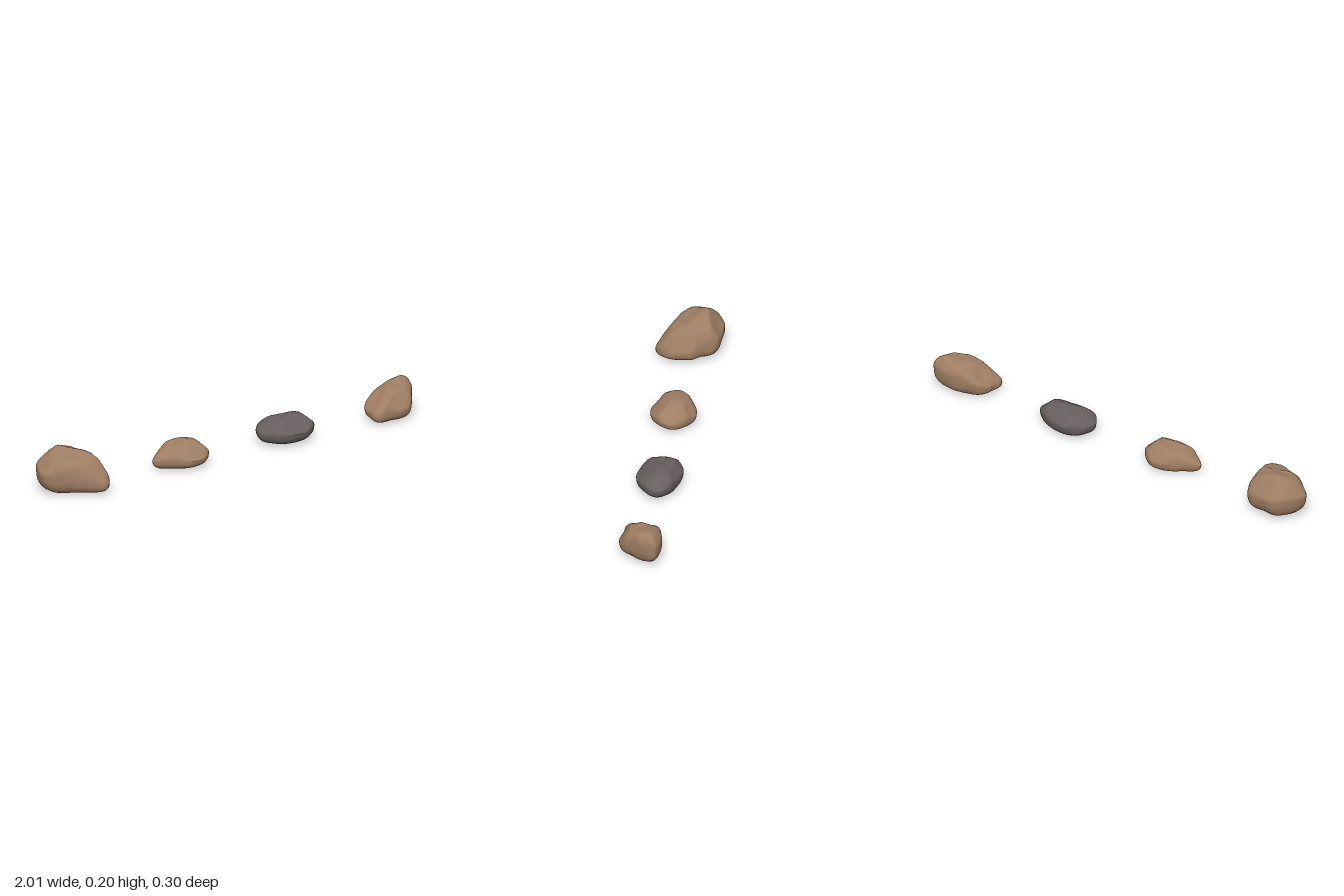
import * as THREE from 'three';

const brown = new THREE.MeshStandardMaterial({ color: 0x9f7e63 });
brown.name = 'brown stone';
const grey = new THREE.MeshStandardMaterial({ color: 0x675e60 });
grey.name = 'grey stone';

const SIDES = 72;
const LOWER = 9; // loops below the waist
const UPPER = 17; // loops from the waist to the crest

// Height at t (0..1) along evenly spaced samples
function read(samples, t) {
  const f = THREE.MathUtils.clamp(t, 0, 1) * (samples.length - 1);
  const i = Math.min(Math.floor(f), samples.length - 2);
  return THREE.MathUtils.lerp(samples[i], samples[i + 1], f - i);
}

// Ridged, repeatable surface lumps in the range -1..1
function lumps(x, y, z) {
  const ridge = 1 - 2 * Math.abs(Math.sin(17 * x + 13 * z + 9 * y + 2 * Math.sin(11 * z)));
  const wave = Math.sin(47 * x + 19 * y) * Math.sin(43 * z - 23 * y + 1.3);
  const fine = Math.sin(71 * y + 37 * x + 2) * Math.sin(83 * z + 29 * x);
  return 0.4 * ridge + 0.4 * wave + 0.2 * fine;
}

// Stacked loops from the underside to the crest, closed by a point at each end.
// radii: plan outline at even angles, turning from +x towards +z
// alongX, alongZ: crest heights across the rock; waist: height of its widest line
function makeRock(name, material, { cx, cz, radii, alongX, alongZ, waist, tiltX, tiltZ, rough }) {
  const corners = radii.map((r, i) => {
    const a = (i / radii.length) * Math.PI * 2;
    return new THREE.Vector3(r * Math.cos(a), 0, r * Math.sin(a));
  });
  const rim = new THREE.CatmullRomCurve3(corners, true).getSpacedPoints(SIDES).slice(0, SIDES);
  const { min, max } = new THREE.Box3().setFromPoints(rim);
  const positions = [];
  const index = [];

  function addPoint(p, s, top) {
    const dx = p.x * s, dz = p.z * s;
    const middle = waist + tiltX * dx + tiltZ * dz;
    const crest = Math.min(
      read(alongX, (dx - min.x) / (max.x - min.x)),
      read(alongZ, (dz - min.z) / (max.z - min.z)),
    );
    const bulge = top ? (1 - s ** 4) ** (1 / 3) : (1 - s ** 3.5) ** (1 / 2.5);
    const y = middle + ((top ? crest : 0.006) - middle) * bulge;
    const n = lumps(cx + dx, y, cz + dz) * rough;
    const out = 1 + (s * n) / (Math.hypot(dx, dz) + 0.03);
    const lift = (top ? 1 : -0.35) * n * (1 - s * s);
    positions.push(cx + dx * out, Math.max(0, y + lift), cz + dz * out);
  }

  addPoint(rim[0], 0, false);
  for (let k = 1; k <= LOWER; k++) {
    const s = Math.sin((k / (LOWER + 1)) * Math.PI / 2);
    rim.forEach((p) => addPoint(p, s, false));
  }
  for (let k = 0; k < UPPER; k++) {
    const s = Math.cos((k / UPPER) * Math.PI / 2);
    rim.forEach((p) => addPoint(p, s, true));
  }
  addPoint(rim[0], 0, true);

  const loops = LOWER + UPPER;
  const last = 1 + loops * SIDES;
  const at = (k, j) => 1 + k * SIDES + (j % SIDES);
  for (let j = 0; j < SIDES; j++) {
    index.push(0, at(0, j), at(0, j + 1));
    for (let k = 0; k < loops - 1; k++) {
      index.push(at(k, j), at(k + 1, j), at(k, j + 1));
      index.push(at(k, j + 1), at(k + 1, j), at(k + 1, j + 1));
    }
    index.push(at(loops - 1, j), last, at(loops - 1, j + 1));
  }

  const geometry = new THREE.BufferGeometry();
  geometry.setAttribute('position', new THREE.Float32BufferAttribute(positions, 3));
  geometry.setIndex(index);
  geometry.computeVertexNormals();
  const mesh = new THREE.Mesh(geometry, material);
  mesh.name = name;
  return mesh;
}

export function createModel() {
  const group = new THREE.Group();
  group.name = 'rocks';

  // Tall boulder with a peak towards the back
  group.add(makeRock('largeRock', brown, {
    cx: -0.85, cz: -0.01,
    radii: [.147, .165, .177, .105, .095, .11, .15, .157, .157, .14, .147, .13],
    alongX: [.12, .175, .208, .188, .175, .085],
    alongZ: [.12, .208, .178, .16, .08],
    waist: 0.078, tiltX: -0.12, tiltZ: -0.13, rough: 0.006,
  }));

  // Low, pointed stone
  group.add(makeRock('flatRock', brown, {
    cx: -0.265, cz: -0.005,
    radii: [.143, .126, .114, .105, .092, .107, .15, .102, .092, .1, .115, .127],
    alongX: [.065, .097, .113, .12, .11, .065],
    alongZ: [.07, .118, .122, .1, .055],
    waist: 0.05, tiltX: 0, tiltZ: 0, rough: 0.005,
  }));

  // Low grey stone
  group.add(makeRock('greyRock', grey, {
    cx: 0.31, cz: -0.01,
    radii: [.145, .12, .107, .102, .107, .127, .145, .138, .118, .1, .1, .122],
    alongX: [.075, .108, .113, .119, .116, .07],
    alongZ: [.08, .117, .12, .1, .065],
    waist: 0.06, tiltX: 0, tiltZ: 0, rough: 0.004,
  }));

  // Stone rising to a corner on the left
  group.add(makeRock('slopedRock', brown, {
    cx: 0.865, cz: 0,
    radii: [.118, .095, .098, .098, .105, .148, .127, .112, .09, .09, .113, .16],
    alongX: [.075, .1, .14, .152, .168, .175],
    alongZ: [.14, .178, .17, .15, .08],
    waist: 0.072, tiltX: 0.16, tiltZ: -0.15, rough: 0.007,
  }));

  return group;
}
